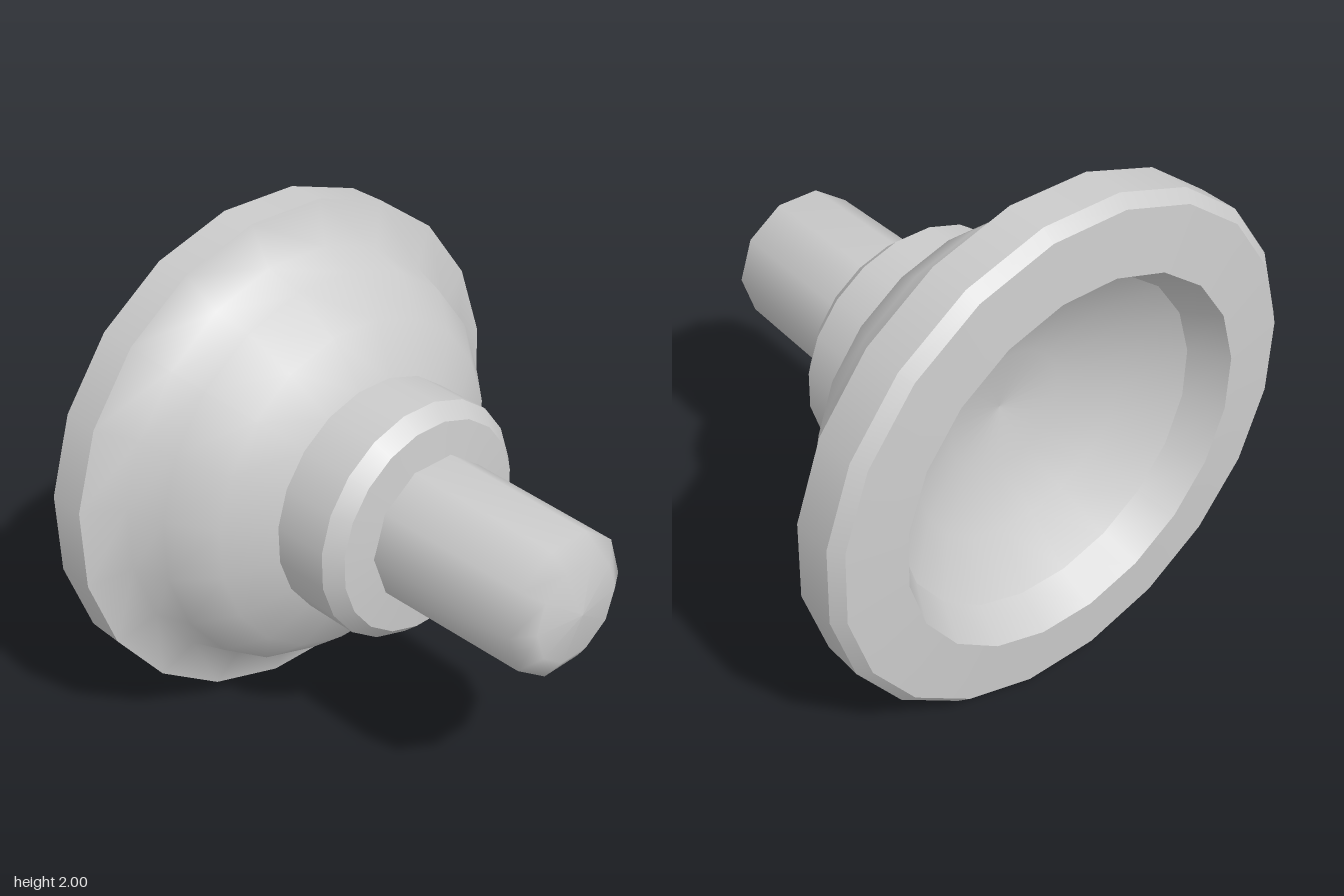
import * as THREE from 'three';

const material = new THREE.MeshStandardMaterial({ color: 0xcccccc });

// Turned part along z. Profile is [flat radius, z]; each profile is one smooth band.
function turned(name, sides, profile) {
  const k = 1 / Math.cos(Math.PI / sides);
  const points = profile.map(([r, z]) => new THREE.Vector2(r * k, z));
  const geometry = new THREE.LatheGeometry(points, sides, Math.PI / sides);
  geometry.rotateX(Math.PI / 2);
  const mesh = new THREE.Mesh(geometry, material);
  mesh.name = name;
  return mesh;
}

export function createModel() {
  const model = new THREE.Group();
  model.name = 'plungerCup';

  // Hollow cup, from the shallow inner bowl out over the lip and forward to the collar
  const cup = new THREE.Group();
  cup.name = 'cup';
  cup.add(
    turned('innerBowl', 20, [[0, -0.44], [0.24, -0.473], [0.46, -0.565], [0.648, -0.71]]),
    turned('innerLip', 20, [[0.648, -0.71], [0.725, -0.85]]),
    turned('backFace', 20, [[0.725, -0.85], [0.96, -0.833]]),
    turned('rimBevel', 20, [[0.96, -0.833], [1, -0.79]]),
    turned('rim', 20, [[1, -0.79], [1, -0.635]]),
    turned('dome', 20, [[1, -0.635], [0.835, -0.58], [0.79, -0.43], [0.66, -0.275], [0.47, -0.18]])
  );

  // Collar with a bevelled front edge
  const collar = new THREE.Group();
  collar.name = 'collar';
  collar.add(
    turned('collarSide', 20, [[0.472, -0.185], [0.47, 0.05]]),
    turned('collarBevel', 20, [[0.47, 0.05], [0.417, 0.11]]),
    turned('collarFace', 20, [[0.417, 0.11], [0.25, 0.125]])
  );

  // Stem with a rounded tip
  const stem = turned('stem', 10, [[0.276, 0.1], [0.265, 0.768], [0.187, 0.823], [0, 0.85]]);

  model.add(cup, collar, stem);
  model.children.forEach((part) => { part.position.y = 1; });
  return model;
}
